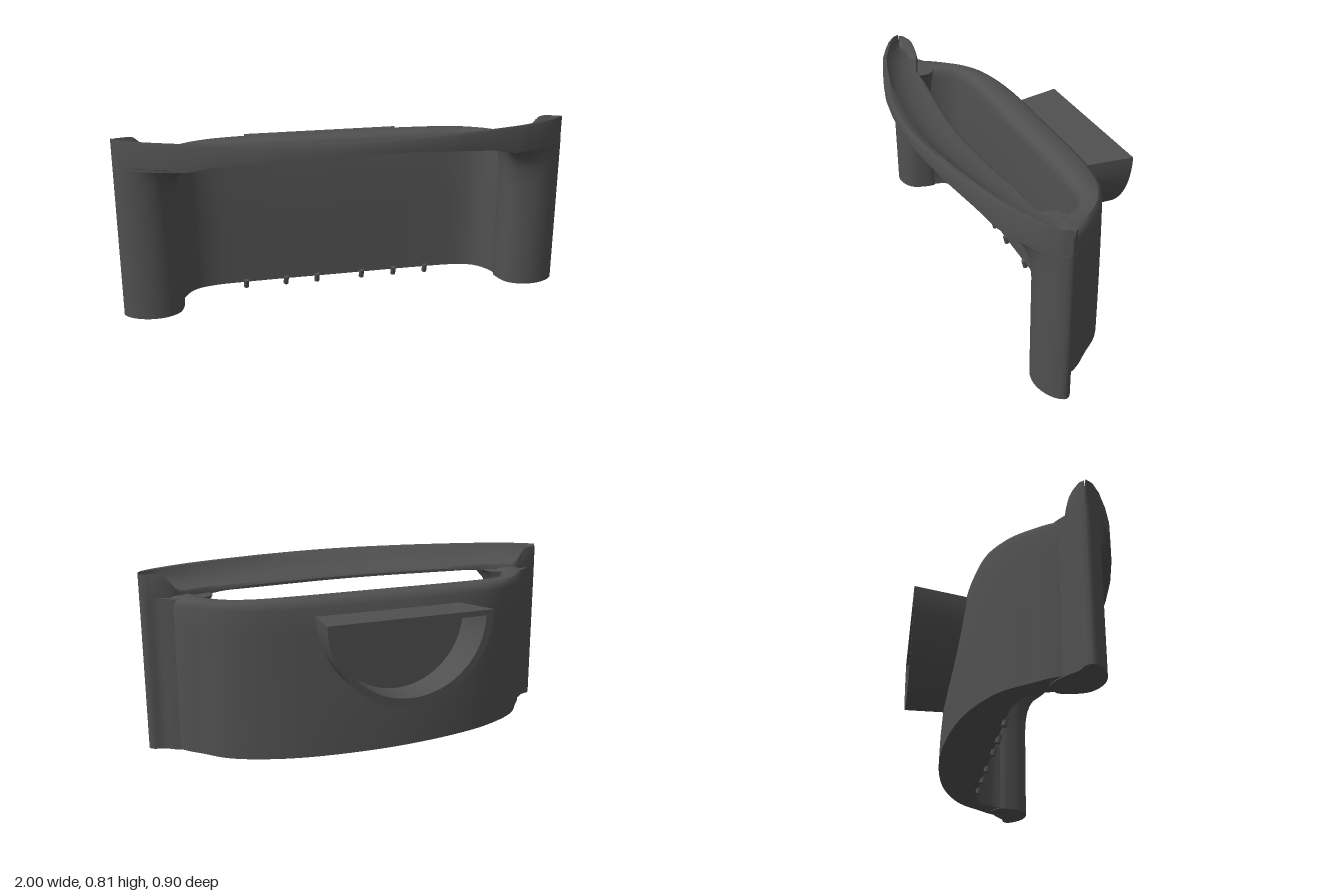
import * as THREE from 'three';
import { toCreasedNormals } from 'three/addons/utils/BufferGeometryUtils.js';

const V = (x, y, z) => new THREE.Vector3(x, y, z);
const { lerp, smoothstep } = THREE.MathUtils;

// Skin a row of closed rings, cap both ends, and turn the faces outwards
function loft(rings, crease = 0.7) {
  const n = rings[0].length, pos = [], idx = [];
  rings.forEach(r => r.forEach(p => pos.push(p.x, p.y, p.z)));
  for (let i = 0; i < rings.length - 1; i++) {
    for (let j = 0; j < n; j++) {
      const k = (j + 1) % n, a = i * n + j, b = i * n + k;
      idx.push(a, b, b + n, a, b + n, a + n);
    }
  }
  [0, rings.length - 1].forEach((e, which) => {
    const shape = rings[e], c = shape.reduce((s, p) => s.add(p), V(0, 0, 0)).divideScalar(n);
    const ci = pos.length / 3;
    pos.push(c.x, c.y, c.z);
    for (let j = 0; j < n; j++) {
      const a = e * n + j, b = e * n + (j + 1) % n;
      which ? idx.push(ci, a, b) : idx.push(ci, b, a);
    }
  });
  const P = i => V(pos[3 * i], pos[3 * i + 1], pos[3 * i + 2]);
  let volume = 0;
  for (let i = 0; i < idx.length; i += 3) {
    volume += P(idx[i]).dot(P(idx[i + 1]).cross(P(idx[i + 2])));
  }
  if (volume < 0) idx.reverse();
  const g = new THREE.BufferGeometry();
  g.setAttribute('position', new THREE.Float32BufferAttribute(pos, 3));
  g.setIndex(idx);
  return toCreasedNormals(g, crease);
}

// Linear lookup in a list of [input, output] pairs
function table(pairs, x) {
  for (let i = 1; i < pairs.length; i++) {
    if (x <= pairs[i][0]) {
      const [a, u] = pairs[i - 1], [b, v] = pairs[i];
      return lerp(u, v, Math.max(0, (x - a) / (b - a)));
    }
  }
  return pairs[pairs.length - 1][1];
}

// Half plan outline mirrored in x and smoothed
function plan(half, count) {
  const left = half.slice(0, -1).reverse().map(([x, z]) => [-x, z]);
  const pts = [...half, ...left].map(([x, z]) => V(x, 0, z));
  return new THREE.CatmullRomCurve3(pts).getPoints(count);
}

// Curved back wall, leaning forward towards its top
function wallGeometry() {
  const top = plan([[0.9, 0.12], [0.86, 0.045], [0.8, -0.03], [0.72, -0.11], [0.6, -0.175], [0.4, -0.21], [0, -0.215]], 72);
  const foot = plan([[0.9, 0.12], [0.86, 0.04], [0.8, -0.03], [0.72, -0.12], [0.6, -0.19], [0.4, -0.255], [0, -0.295]], 72);
  const inner = plan([[0.745, 0.15], [0.74, 0.08], [0.725, 0.03], [0.68, -0.03], [0.6, -0.06], [0.4, -0.07], [0, -0.07]], 72);
  // [share of the way from outer to inner face, height]
  const section = [[0, 0.03], [0, 0.15], [0, 0.3], [0, 0.45], [0, 0.57], [0, 0.675], [0.05, 0.698], [0.18, 0.71],
    [0.6, 0.712], [0.85, 0.705], [0.96, 0.69], [1, 0.66], [1, 0.35], [1, 0.03]];
  return loft(top.map((t, i) => section.map(([s, y]) => {
    const p = foot[i].clone().lerp(t, Math.min(1, (y / 0.7) ** 2)).lerp(inner[i], s);
    return p.setY(y);
  })));
}

// Side flange column, flaring into the visor; side is +1 or -1
function flangeGeometry(side) {
  // x, z below the flare, then x, z at the top
  const outline = [[0.74, 0.08, 0.7, 0.09], [0.745, 0.15, 0.7, 0.2], [0.765, 0.195, 0.7, 0.31], [0.81, 0.225, 0.75, 0.315],
    [0.87, 0.235, 0.85, 0.272], [0.93, 0.222, 0.925, 0.232], [0.98, 0.19, 0.98, 0.19], [1, 0.155, 1, 0.155],
    [0.985, 0.132, 0.985, 0.132], [0.94, 0.118, 0.94, 0.118], [0.89, 0.08, 0.89, 0.08], [0.8, 0.04, 0.8, 0.04]];
  const flare = [[0.5, 0], [0.56, 0.05], [0.61, 0.15], [0.65, 0.33], [0.68, 0.6], [0.703, 1]];
  return loft([0.025, 0.3, 0.5, 0.56, 0.59, 0.61, 0.63, 0.65, 0.665, 0.68, 0.692, 0.703].map(y => {
    const f = table(flare, y);
    const pts = outline.map(([x, z, u, w]) => V(side * lerp(x, u, f), y, lerp(z, w, f)));
    return new THREE.CatmullRomCurve3(pts, true).getPoints(48).slice(0, -1);
  }));
}

// Dished visor across the front, with a raised rim that curls round both tips
function visorGeometry() {
  const front = [[0, 0.45], [0.1, 0.447], [0.2, 0.438], [0.4, 0.408], [0.6, 0.36], [0.75, 0.315], [0.85, 0.272],
    [0.925, 0.232], [0.98, 0.19], [1, 0.157]];
  const back = [[0, 0.2], [0.15, 0.197], [0.3, 0.185], [0.55, 0.162], [0.7, 0.155], [0.78, 0.13], [0.86, 0.102],
    [0.94, 0.118], [0.985, 0.132], [1, 0.15]];
  const under = [[0, 0.762], [0.2, 0.755], [0.4, 0.741], [0.6, 0.72], [0.7, 0.695], [1, 0.685]];
  const rings = [];
  for (let i = 0; i <= 80; i++) {
    const x = Math.sin((i / 80 - 0.5) * Math.PI), a = Math.abs(x);
    const zf = table(front, a), zb = table(back, a), w = zf - zb;
    const rim = lerp(0.728, 0.806, smoothstep(a, 0.83, 0.92));
    const floor = lerp(0.732, 0.79, smoothstep(a, 0.9, 1));
    const at = (t, y) => V(x, y, zf - w * t);
    rings.push([at(0, table(under, a)), at(0, 0.8), at(0.03, 0.813), at(0.12, 0.81), at(0.25, lerp(0.787, floor, 0.2)),
      at(0.5, lerp(0.757, floor, 0.4)), at(0.78, floor), at(0.9, (rim + floor) / 2), at(0.96, rim),
      at(1, rim - 0.01), at(1, lerp(0.706, 0.685, smoothstep(a, 0.6, 0.8)))]);
  }
  return loft(rings);
}

// Hollow half-round port on the back, flat on top
function portGeometry() {
  const ring = (z, w, top, bottom) => {
    const pts = [];
    for (let i = 0; i <= 32; i++) {
      const a = Math.PI * i / 32;
      pts.push(V(w * Math.cos(a), top - (top - bottom) * Math.sin(a), z));
    }
    return pts;
  };
  return loft([ring(-0.16, 0.335, 0.636, 0.262), ring(-0.455, 0.385, 0.652, 0.27),
    ring(-0.455, 0.345, 0.628, 0.305), ring(-0.3, 0.32, 0.622, 0.305)], 0.5);
}

export function createModel() {
  const model = new THREE.Group();
  const charcoal = new THREE.MeshStandardMaterial({ color: 0x505050 });
  charcoal.name = 'charcoal plastic';
  const add = (name, geometry) => {
    const mesh = new THREE.Mesh(geometry, charcoal);
    mesh.name = name;
    model.add(mesh);
    return mesh;
  };
  add('backWall', wallGeometry());
  add('leftFlange', flangeGeometry(1));
  add('rightFlange', flangeGeometry(-1));
  add('visor', visorGeometry());
  add('rearPort', portGeometry());

  // Small locating pegs under the wall
  const peg = new THREE.CylinderGeometry(0.012, 0.012, 0.04, 10);
  [-0.44, -0.25, -0.1, 0.12, 0.28, 0.44].forEach(x => {
    const mesh = add('peg', peg);
    mesh.position.set(x, 0.023, -0.07);
    mesh.rotation.x = 0.25;
  });
  return model;
}
